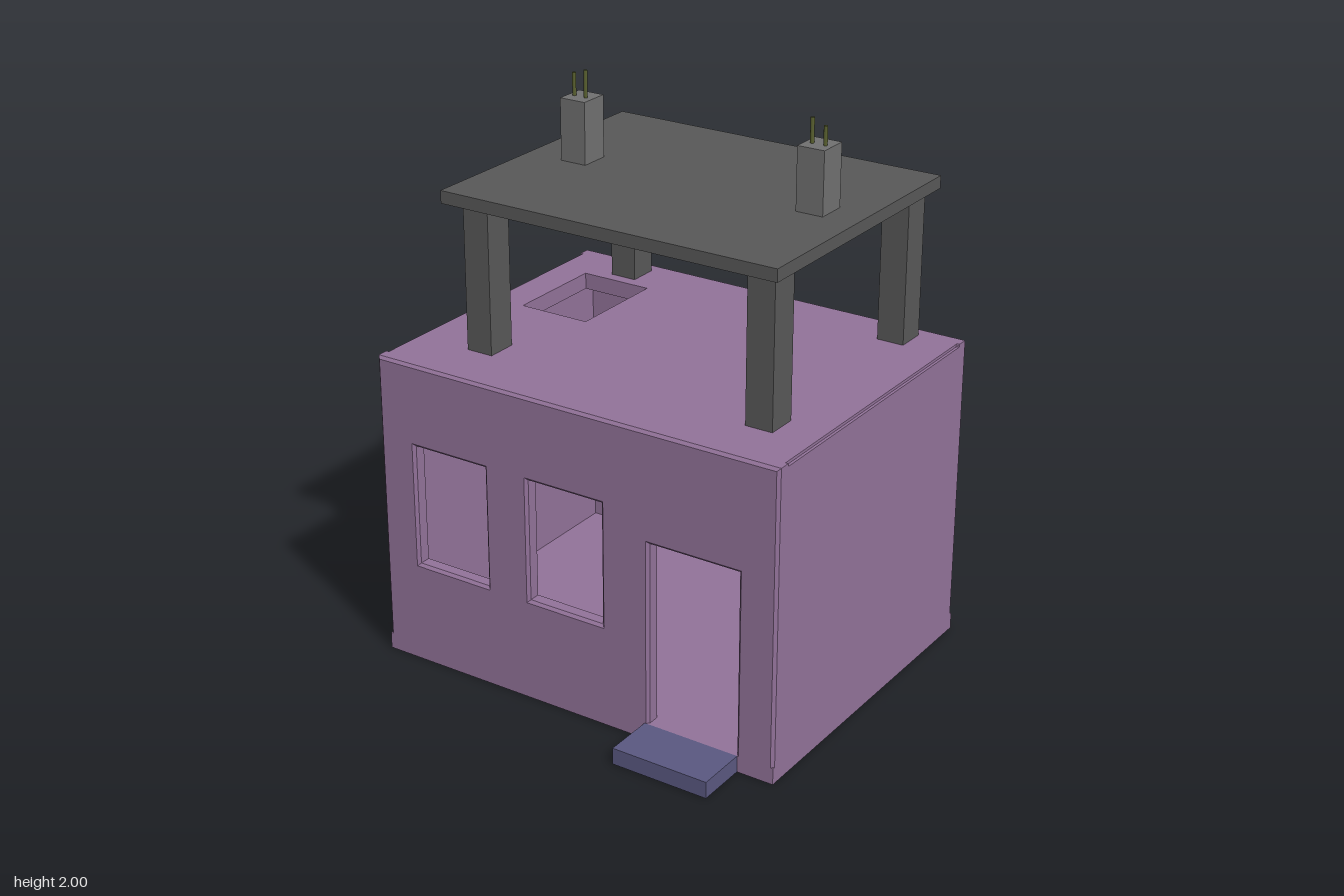
import * as THREE from 'three';

const mat = (color) => new THREE.MeshStandardMaterial({ color });

export function createModel() {
  const model = new THREE.Group();
  const plaster = mat(0x927299), stepBlue = mat(0x5a5880);
  const concrete = mat(0x585858), block = mat(0x707070), steel = mat(0x59602f);

  const add = (name, geometry, material, parent = model) => {
    const mesh = new THREE.Mesh(geometry, material);
    mesh.name = name;
    parent.add(mesh);
    return mesh;
  };
  // Box given by its limits on each axis
  const box = (name, [x0, x1], [y0, y1], [z0, z1], material, parent) => {
    const mesh = add(name, new THREE.BoxGeometry(x1 - x0, y1 - y0, z1 - z0), material, parent);
    mesh.position.set((x0 + x1) / 2, (y0 + y1) / 2, (z0 + z1) / 2);
    return mesh;
  };
  const rect = (P, x0, x1, y0, y1) => {
    const p = new P();
    p.moveTo(x0, y0);
    p.lineTo(x1, y0);
    p.lineTo(x1, y1);
    p.lineTo(x0, y1);
    p.closePath();
    return p;
  };

  // House shell: outer limits, wall thickness and edge bevel
  const L = -0.79, R = 0.785, TOP = 1.12, BACK = -0.705, FRONT = 0.52, T = 0.06, B = 0.01;
  const house = new THREE.Group();
  house.name = 'house';
  model.add(house);

  // Wall panel with bevelled openings, each [x0, x1, y0, y1]
  const panel = (name, openings, z) => {
    const shape = rect(THREE.Shape, L, R, 0, TOP);
    for (const [x0, x1, y0, y1] of openings) {
      shape.holes.push(rect(THREE.Path, x0 + B, x1 - B, y0 + B, y1 - B));
    }
    const geometry = new THREE.ExtrudeGeometry(shape, {
      depth: T - 2 * B, bevelSize: B, bevelThickness: B, bevelOffset: -B, bevelSegments: 1,
    });
    add(name, geometry, plaster, house).position.z = z + B;
  };
  const middleWindow = [-0.185, 0.13, 0.365, 0.83];
  panel('frontWall', [[-0.655, -0.34, 0.365, 0.83], middleWindow, [0.295, 0.655, 0.05, 0.735]], FRONT - T);
  panel('backWall', [middleWindow], BACK);

  // Side walls and floor
  const depth = [BACK + B, FRONT - B];
  box('rightWall', [L, L + T], [0, TOP - B], depth, plaster, house);
  box('leftWall', [R - T, R], [0, TOP - B], depth, plaster, house);
  box('floor', [L, R], [0, 0.06], [BACK, FRONT], plaster, house);

  // Flat roof with a hatch opening
  const roofShape = rect(THREE.Shape, L + B, R - B, -depth[1], -depth[0]);
  roofShape.holes.push(rect(THREE.Path, -0.655, -0.385, 0.115, 0.495));
  const roof = add('roof', new THREE.ExtrudeGeometry(roofShape, { depth: T, bevelEnabled: false }), plaster, house);
  roof.rotation.x = -Math.PI / 2;
  roof.position.y = TOP - T;

  // Door step
  box('doorStep', [0.29, 0.65], [0, 0.06], [FRONT, 0.705], stepBlue);

  // Rooftop platform on four pillars
  for (const x of [[-0.57, -0.47], [0.53, 0.63]]) {
    for (const z of [[0.195, 0.308], [-0.65, -0.54]]) {
      box('pillar', x, [1.1, 1.65], z, concrete);
    }
  }
  box('platform', [-0.63, 0.66], [1.64, 1.685], [-0.7, 0.348], concrete);

  // Column stubs with protruding steel bars: [x limits, [[bar x, bar top], ...]]
  const stubs = [
    [[-0.485, -0.385], [[-0.462, 1.985], [-0.415, 2.0]]],
    [[0.44, 0.54], [[0.465, 1.99], [0.514, 1.97]]],
  ];
  for (const [limits, bars] of stubs) {
    const stub = new THREE.Group();
    stub.name = 'columnStub';
    model.add(stub);
    box('stubBlock', limits, [1.68, 1.905], [-0.235, -0.125], block, stub);
    for (const [x, top] of bars) {
      const h = top - 1.88;
      add('steelBar', new THREE.CylinderGeometry(0.007, 0.007, h, 10), steel, stub)
        .position.set(x, top - h / 2, -0.175);
    }
  }
  return model;
}
